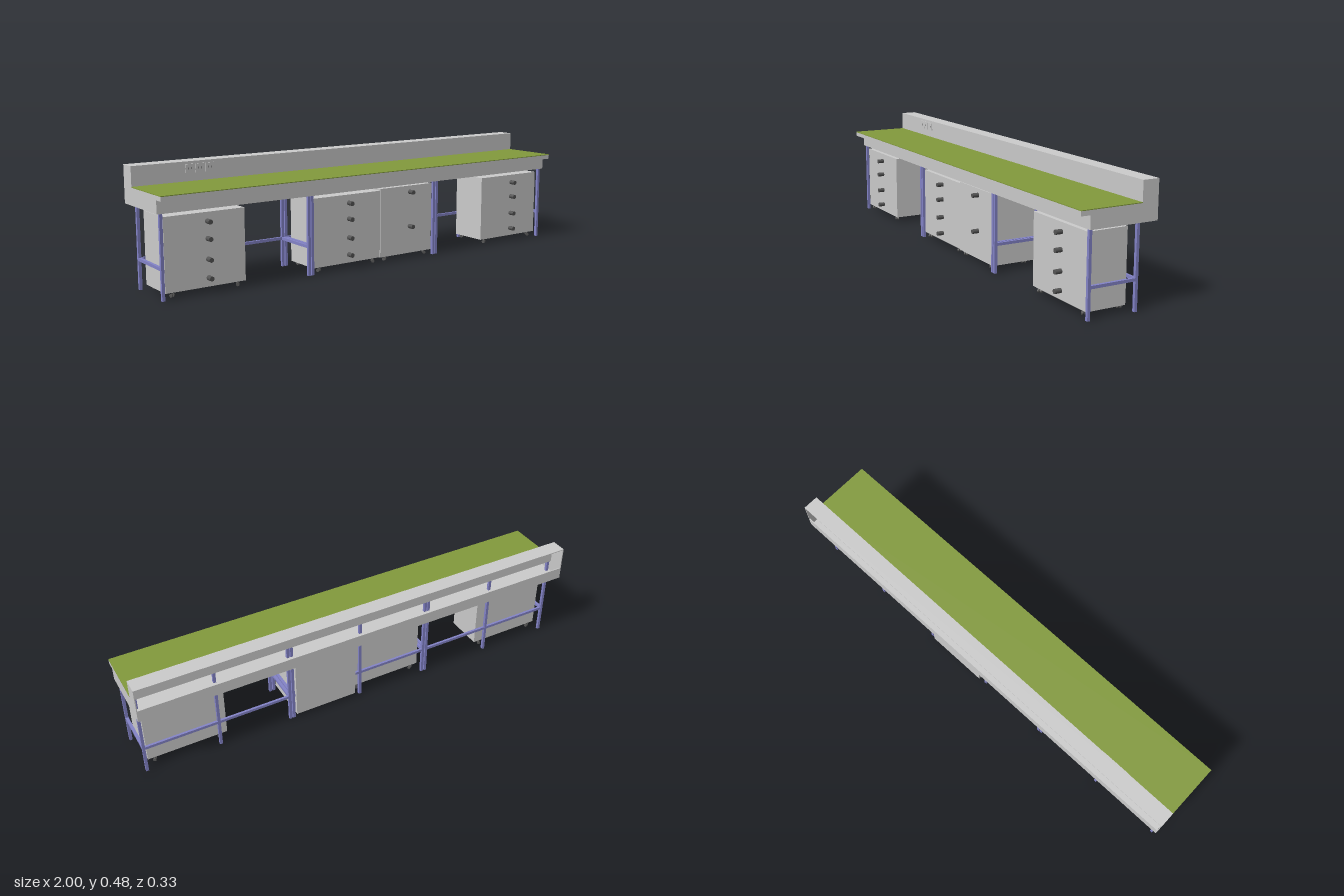
import * as THREE from 'three';

const grey = new THREE.MeshStandardMaterial({ color: 0xcccccc, side: THREE.DoubleSide });
const green = new THREE.MeshStandardMaterial({ color: 0x829a3c });
const blue = new THREE.MeshStandardMaterial({ color: 0x8484c8 });
const dark = new THREE.MeshStandardMaterial({ color: 0x555555 });

// Box given by its limits on each axis
function box(parent, name, [x0, x1], [y0, y1], [z0, z1], material = grey) {
  const mesh = new THREE.Mesh(new THREE.BoxGeometry(x1 - x0, y1 - y0, z1 - z0), material);
  mesh.position.set((x0 + x1) / 2, (y0 + y1) / 2, (z0 + z1) / 2);
  mesh.name = name;
  parent.add(mesh);
  return mesh;
}

function group(parent, name) {
  const g = new THREE.Group();
  g.name = name;
  parent.add(g);
  return g;
}

// Swivel caster: two wheels on a short axle with a stem
function caster(parent, x, z, turn) {
  const g = group(parent, 'caster');
  for (const side of [-1, 1]) {
    const wheel = new THREE.Mesh(new THREE.CylinderGeometry(0.007, 0.007, 0.006, 16), dark);
    wheel.rotation.z = Math.PI / 2;
    wheel.position.x = side * 0.006;
    wheel.name = 'casterWheel';
    g.add(wheel);
  }
  const axle = new THREE.Mesh(new THREE.CylinderGeometry(0.002, 0.002, 0.012, 8), dark);
  axle.rotation.z = Math.PI / 2;
  axle.name = 'casterAxle';
  const stem = new THREE.Mesh(new THREE.CylinderGeometry(0.003, 0.003, 0.014, 8), dark);
  stem.position.y = 0.007;
  stem.name = 'casterStem';
  g.add(axle, stem);
  g.position.set(x, 0.012, z);
  g.rotation.y = turn;
}

// Rolling cabinet with a column of round knobs
function cabinet(parent, name, x, y, z, knobX, knobHeights) {
  const g = group(parent, name);
  box(g, 'cabinetBody', x, y, z);
  for (const h of knobHeights) {
    const knob = new THREE.Mesh(new THREE.CylinderGeometry(0.0095, 0.0095, 0.028, 20), dark);
    knob.rotation.x = Math.PI / 2;
    knob.position.set(knobX, h, z[1] + 0.014);
    knob.name = 'knob';
    g.add(knob);
  }
  for (const cx of [x[0] + 0.032, x[1] - 0.03])
    for (const cz of [0.098, -0.055]) caster(g, cx, cz, cx === x[0] + 0.032 ? 0.5 : 1.1);
}

// Leg frame of one bench unit: corner legs, middle rear leg and rails
function frame(parent, cx) {
  const g = group(parent, 'legFrame');
  const w = 0.006, half = 0.322;
  const front = [0.108, 0.12], rear = [-0.0955, -0.0835], rail = [0.115, 0.127];
  for (const x of [cx - half, cx + half]) {
    box(g, 'frontLeg', [x - w, x + w], [0, 0.382], front, blue);
    box(g, 'rearLeg', [x - w, x + w], [0, 0.382], rear, blue);
    box(g, 'sideRail', [x - w, x + w], rail, [rear[1], front[0]], blue);
  }
  box(g, 'middleRearLeg', [cx - w, cx + w], [0, 0.382], rear, blue);
  box(g, 'rearRail', [cx - half + w, cx + half - w], rail, [rear[0] + 0.001, rear[1] - 0.001], blue);
}

export function createModel() {
  const model = new THREE.Group();
  model.name = 'workbench';
  const full = [-1, 1];
  const t = 0.004;

  // Worktop with coloured surface
  box(model, 'worktop', full, [0.382, 0.4], [-0.094, 0.164]);
  box(model, 'worktopSurface', full, [0.4, 0.403], [-0.094, 0.164], green);

  // Apron tray under the worktop, open at the top behind it
  const apron = group(model, 'apron');
  box(apron, 'apronBottom', full, [0.33, 0.33 + t], [-0.163, 0.125]);
  box(apron, 'apronFront', full, [0.33, 0.382], [0.125 - t, 0.125]);
  box(apron, 'apronBack', full, [0.33, 0.382], [-0.163, -0.163 + t]);
  for (const x of [[-1, -1 + t], [1 - t, 1]])
    box(apron, 'apronEnd', x, [0.33, 0.382], [-0.163, 0.125]);

  // Raised upstand, open to the back
  const upstand = group(model, 'upstand');
  box(upstand, 'upstandFront', full, [0.382, 0.482], [-0.0955, -0.094]);
  box(upstand, 'upstandTop', full, [0.482 - t, 0.482], [-0.163, -0.094]);
  for (const x of [[-1, -1 + t], [1 - t, 1]])
    box(upstand, 'upstandEnd', x, [0.382, 0.482], [-0.163, -0.094]);

  // Outlet plates on the upstand
  const outlets = group(model, 'outlets');
  for (const x of [-0.755, -0.712, -0.669]) {
    box(outlets, 'outletPlate', [x - 0.0195, x + 0.0195], [0.436, 0.471], [-0.094, -0.09]);
    for (const dx of [-0.007, 0.007])
      box(outlets, 'outletSlot', [x + dx - 0.001, x + dx + 0.001], [0.45, 0.458], [-0.09, -0.0895], dark);
  }

  for (const cx of [-0.66, 0, 0.66]) frame(model, cx);

  // Cabinets: three with four drawers, one deeper with two
  const four = [0.28, 0.213, 0.133, 0.06];
  const y = [0.025, 0.315], z = [-0.06, 0.11];
  cabinet(model, 'rightDrawerCabinet', [-0.97, -0.63], y, z, -0.79, four);
  cabinet(model, 'middleDrawerCabinet', [-0.313, 0.028], y, z, -0.135, four);
  cabinet(model, 'leftDrawerCabinet', [0.618, 0.965], y, z, 0.805, four);
  cabinet(model, 'deepCabinet', [0.03, 0.313], [0.023, 0.322], [-0.105, 0.111], 0.19, [0.295, 0.143]);

  return model;
}
